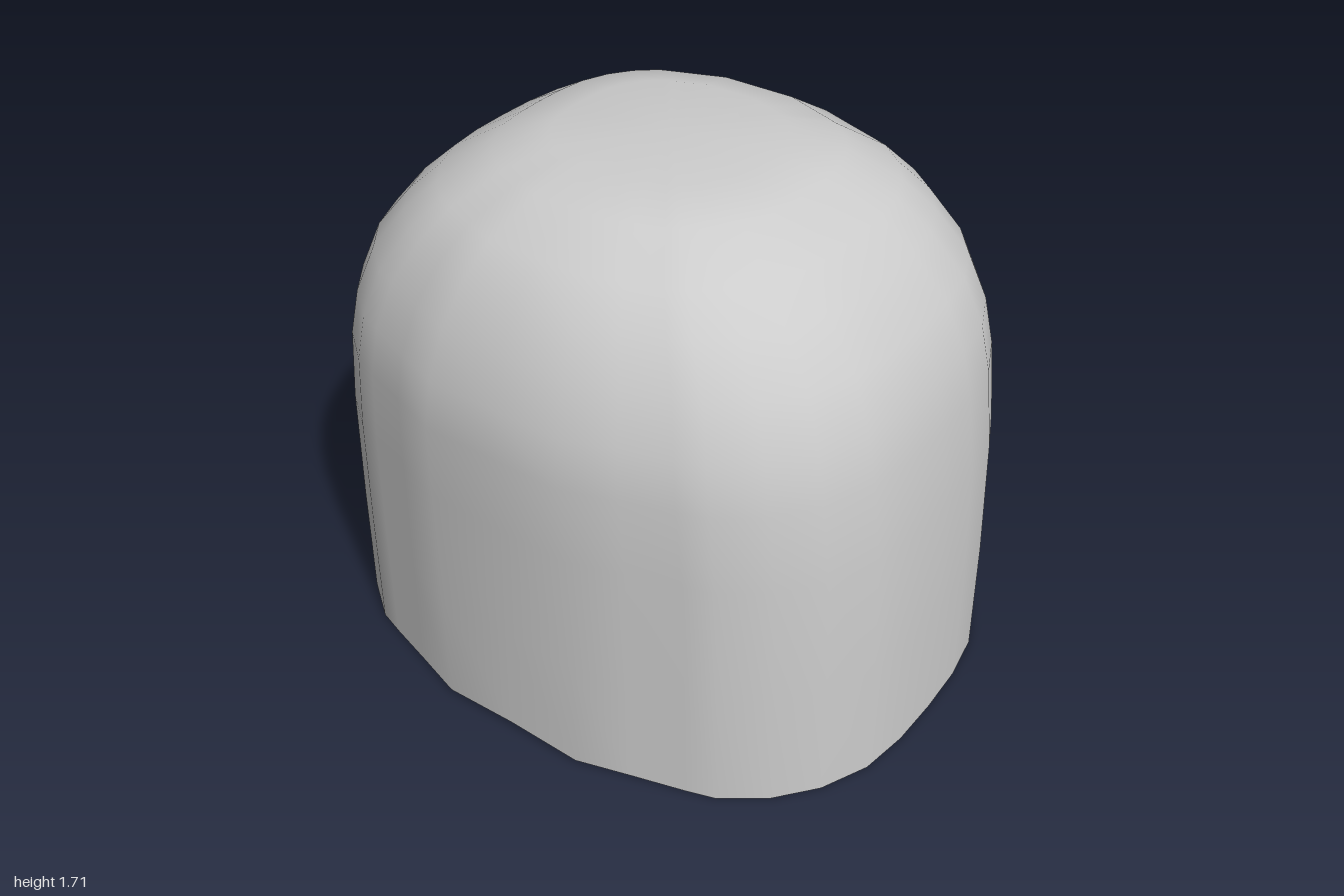
import * as THREE from 'three';

const WALL = 0.02;

// Rounded plan of the wall, one quarter (x, z) from the side to the front
const QUARTER = [[0.83, 0], [0.83, 0.25], [0.775, 0.42], [0.725, 0.58], [0.695, 0.67],
  [0.6, 0.8], [0.48, 0.9], [0.33, 0.97], [0.17, 0.995], [0, 1]];

// Levels from base to crown: height, half width, half depth
const LEVELS = [[0, 0.83, 1], [0.4, 0.83, 0.993], [0.8, 0.832, 0.975], [1.05, 0.835, 0.94],
  [1.2, 0.813, 0.905], [1.35, 0.762, 0.84], [1.48, 0.69, 0.73], [1.57, 0.605, 0.63],
  [1.66, 0.46, 0.475], [1.7, 0.31, 0.32], [1.705, 0, 0]];

// Convex openings in the +x wall, counterclockwise in (z, y)
const DOORWAY = [[-0.375, -0.1], [0.375, -0.1], [0.365, 0.69], [0.33, 0.82], [0.22, 0.895],
  [0, 0.92], [-0.22, 0.895], [-0.33, 0.82], [-0.365, 0.69]];
const PORTHOLE = [[-0.5, 1.025], [-0.43, 1.06], [-0.38, 1.13], [-0.365, 1.22], [-0.395, 1.315],
  [-0.46, 1.35], [-0.54, 1.325], [-0.6, 1.26], [-0.61, 1.18], [-0.585, 1.08]];

// Full plan outline, mirrored from the quarter
function planOutline() {
  const half = [...QUARTER, ...QUARTER.slice(0, -1).reverse().map(([x, z]) => [-x, z])];
  return [...half, ...half.slice(1, -1).reverse().map(([x, z]) => [x, -z])];
}

// Grid of shell vertices with smooth normals; t marks the base row
function shellGrid() {
  const plan = planOutline(), n = plan.length, pos = [], index = [];
  LEVELS.forEach(([y, w, d], i) => plan.forEach(([x, z]) => {
    const lift = i === 0 ? 0.02 * Math.max(0, 1 - Math.abs(z) / 0.6) : 0;
    pos.push(x / 0.83 * w, y + lift, z * d);
  }));
  const quads = [];
  for (let i = 0; i < LEVELS.length - 1; i++) for (let j = 0; j < n; j++) {
    const k = (j + 1) % n, a = i * n + j, b = a + n, c = (i + 1) * n + k, e = i * n + k;
    quads.push([a, b, c], [a, c, e]);
    index.push(a, b, c, a, c, e);
  }
  const geo = new THREE.BufferGeometry();
  geo.setAttribute('position', new THREE.Float32BufferAttribute(pos, 3));
  geo.setIndex(index);
  geo.computeVertexNormals();
  const verts = [];
  for (let v = 0; v < pos.length / 3; v++) {
    const crown = v >= (LEVELS.length - 1) * n;
    verts.push({
      p: new THREE.Vector3(pos[3 * v], pos[3 * v + 1], pos[3 * v + 2]),
      n: crown ? new THREE.Vector3(0, 1, 0)
        : new THREE.Vector3().fromBufferAttribute(geo.attributes.normal, v),
      t: v < n ? 1 : 0,
    });
  }
  return quads.map(f => f.map(v => verts[v]));
}

// Signed distance of a vertex from an opening edge, positive inside
function edgeSide(v, [az, ay], [bz, by]) {
  return ((bz - az) * (v.p.y - ay) - (by - ay) * (v.p.z - az)) / Math.hypot(bz - az, by - ay);
}

// Part of a polygon on one side of an opening edge
function clip(poly, A, B, sign) {
  const out = [];
  poly.forEach((u, i) => {
    const v = poly[(i + 1) % poly.length];
    const du = sign * edgeSide(u, A, B), dv = sign * edgeSide(v, A, B);
    if (du >= 0) out.push(u);
    if (du * dv < 0) {
      const s = du / (du - dv);
      out.push({ p: u.p.clone().lerp(v.p, s), n: u.n.clone().lerp(v.n, s).normalize(), t: u.t + (v.t - u.t) * s });
    }
  });
  return out.length > 2 ? out : [];
}

// Cuts an opening out of the polygons and reports its rim edges
function cutOpening(polys, hole, onRim) {
  const kept = [];
  for (const poly of polys) {
    if (poly.every(v => v.p.x < 0.1)) { kept.push(poly); continue; }
    const pieces = [];
    let rest = poly;
    hole.forEach((A, i) => {
      const B = hole[(i + 1) % hole.length];
      const outside = clip(rest, A, B, -1);
      if (outside.length) pieces.push(outside);
      rest = clip(rest, A, B, 1);
    });
    if (!rest.length) { kept.push(poly); continue; }
    kept.push(...pieces);
    rest.forEach((u, i) => {
      const v = rest[(i + 1) % rest.length];
      const onEdge = hole.some((A, k) => {
        const B = hole[(k + 1) % hole.length];
        return Math.abs(edgeSide(u, A, B)) < 1e-6 && Math.abs(edgeSide(v, A, B)) < 1e-6;
      });
      if (onEdge) onRim(u, v);
    });
  }
  return kept;
}

const innerPoint = v => v.p.clone().addScaledVector(v.n, -WALL);

function meshFrom(name, points, normals, material) {
  const geo = new THREE.BufferGeometry().setFromPoints(points);
  if (normals) geo.setAttribute('normal', new THREE.Float32BufferAttribute(normals.flatMap(n => n.toArray()), 3));
  else geo.computeVertexNormals();
  const mesh = new THREE.Mesh(geo, material);
  mesh.name = name;
  return mesh;
}

export function createModel() {
  const group = new THREE.Group();
  group.name = 'domedShelter';
  const material = new THREE.MeshStandardMaterial({ color: 0xcccccc });

  // Strips joining the outer and inner skins
  const rims = { doorwayRim: [], portholeRim: [], baseRim: [] };
  const addRim = name => (u, v) => {
    const a = innerPoint(u), b = innerPoint(v);
    rims[name].push(u.p, v.p, b, u.p, b, a);
  };

  let polys = shellGrid();
  polys = cutOpening(polys, DOORWAY, addRim('doorwayRim'));
  polys = cutOpening(polys, PORTHOLE, addRim('portholeRim'));

  // Outer and inner skins
  const outer = [], outerN = [], inner = [], innerN = [];
  for (const poly of polys) {
    for (let i = 1; i < poly.length - 1; i++) {
      const tri = [poly[0], poly[i], poly[i + 1]];
      for (const v of tri) { outer.push(v.p); outerN.push(v.n); }
      for (const v of tri.reverse()) { inner.push(innerPoint(v)); innerN.push(v.n.clone().negate()); }
    }
    poly.forEach((u, i) => {
      const v = poly[(i + 1) % poly.length];
      if (u.t > 0.999 && v.t > 0.999) addRim('baseRim')(v, u);
    });
  }
  group.add(meshFrom('outerShell', outer, outerN, material));
  group.add(meshFrom('innerShell', inner, innerN, material));
  for (const name in rims) group.add(meshFrom(name, rims[name], null, material));
  return group;
}
